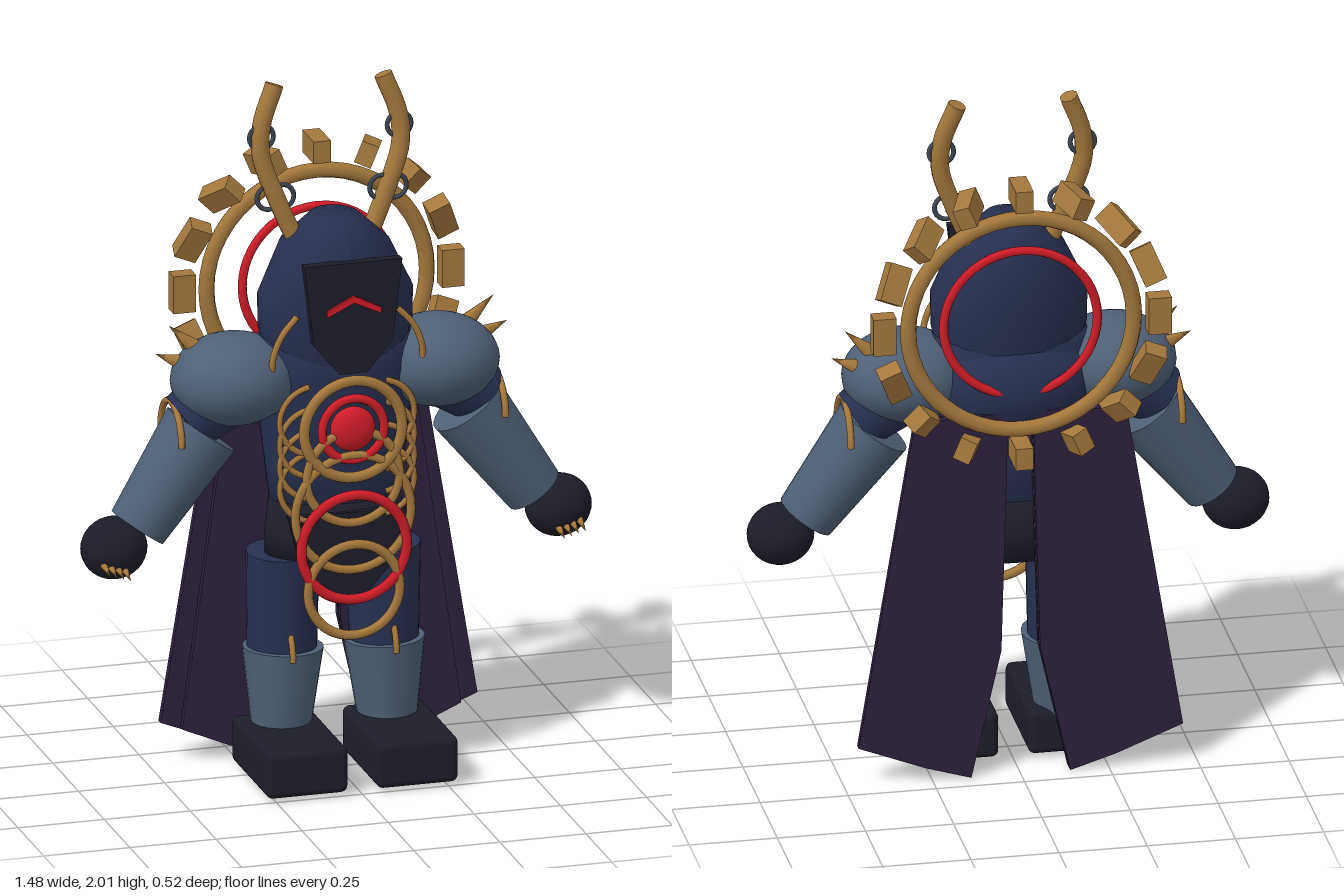
import * as THREE from 'three';
import { RoundedBoxGeometry } from 'three/addons/geometries/RoundedBoxGeometry.js';

const V = (x, y, z) => new THREE.Vector3(x, y, z);

export function createModel() {
  const model = new THREE.Group();
  model.name = 'hornedArmouredFigure';
  const paint = (name, color) => {
    const m = new THREE.MeshStandardMaterial({ color });
    m.name = name;
    return m;
  };
  const navy = paint('navy cloth', 0x27304f);
  const steel = paint('steel armour', 0x4f6075);
  const dark = paint('dark leather', 0x1c1d28);
  const gold = paint('old gold', 0xa4783c);
  const red = paint('glowing red', 0xd01c28);
  const purple = paint('purple cape', 0x2d213c);
  const iron = paint('iron chain', 0x3c4652);

  const add = (name, geometry, material, x = 0, y = 0, z = 0) => {
    const mesh = new THREE.Mesh(geometry, material);
    mesh.name = name;
    mesh.position.set(x, y, z);
    model.add(mesh);
    return mesh;
  };
  // Tapered cylinder or cone from point a to point b
  const limb = (name, a, b, ra, rb, material, sides = 24) => {
    const d = b.clone().sub(a);
    const mesh = add(name, new THREE.CylinderGeometry(rb, ra, d.length(), sides), material);
    mesh.position.copy(a).addScaledVector(d, 0.5);
    mesh.quaternion.setFromUnitVectors(V(0, 1, 0), d.normalize());
    return mesh;
  };
  const ellipsoid = (name, x, y, z, rx, ry, rz, material) => {
    add(name, new THREE.SphereGeometry(1, 28, 18), material, x, y, z).scale.set(rx, ry, rz);
  };
  const ring = (name, y, z, radius, tube, material) =>
    add(name, new THREE.TorusGeometry(radius, tube, 8, 48), material, 0, y, z);
  const tube = (name, points, radius, material) =>
    add(name, new THREE.TubeGeometry(new THREE.CatmullRomCurve3(points), 20, radius, 10), material);
  const plate = (name, points, depth, z, material) => {
    const shape = new THREE.Shape(points.map(p => new THREE.Vector2(...p)));
    return add(name, new THREE.ExtrudeGeometry(shape, { depth, bevelEnabled: false }), material, 0, 0, z);
  };
  const lathe = (points, sides = 32) =>
    new THREE.LatheGeometry(points.map(p => new THREE.Vector2(...p)), sides);

  // Hood, deeper towards its flat crown
  const hood = lathe([[0.19, 1.2], [0.22, 1.3], [0.222, 1.4], [0.155, 1.54], [0.07, 1.62], [0, 1.62]]);
  const p = hood.attributes.position;
  for (let i = 0; i < p.count; i++) {
    const t = THREE.MathUtils.clamp((p.getY(i) - 1.4) / 0.2, 0, 1);
    p.setZ(i, p.getZ(i) * (0.68 + 0.5 * t));
  }
  hood.computeVertexNormals();
  add('hood', hood, navy, 0, 0, -0.018);

  // Face plate with its glowing chevron
  plate('facePlate', [[-0.142, 1.535], [-0.115, 1.3], [-0.04, 1.21], [0.04, 1.21], [0.115, 1.3], [0.142, 1.535]],
    0.03, 0.133, dark);
  plate('faceChevron', [[-0.078, 1.383], [-0.078, 1.4], [0, 1.44], [0.078, 1.4], [0.078, 1.383], [0, 1.42]],
    0.009, 0.163, red);

  // Torso, upper back and pelvis
  const torso = add('torso', lathe([[0, 0.74], [0.18, 0.74], [0.2, 0.9], [0.22, 1.06],
    [0.25, 1.18], [0.22, 1.28], [0.12, 1.33], [0, 1.33]]), navy, 0, 0, -0.025);
  torso.scale.z = 0.58;
  ellipsoid('upperBack', 0, 1.14, -0.06, 0.24, 0.16, 0.148, navy);
  const pelvis = add('pelvis', lathe([[0, 0.62], [0.2, 0.62], [0.2, 0.7], [0.19, 0.8], [0, 0.8]]), dark, 0, 0, -0.025);
  pelvis.scale.z = 0.6;
  plate('loincloth', [[-0.17, 0.78], [-0.13, 0.62], [-0.06, 0.54], [0.06, 0.54], [0.13, 0.62], [0.17, 0.78]],
    0.02, 0.082, dark);

  // Chest jewel and the chain of hoops below it
  ellipsoid('chestJewel', 0, 1.045, 0.155, 0.065, 0.065, 0.033, red);
  ring('jewelRing', 1.045, 0.16, 0.09, 0.013, red);
  ring('outerHoop', 1.045, 0.16, 0.142, 0.016, gold);
  ring('upperHoop', 0.905, 0.16, 0.135, 0.013, gold);
  ring('middleHoop', 0.8, 0.16, 0.168, 0.013, gold);
  ring('redHoop', 0.7, 0.168, 0.153, 0.015, red);
  ring('lowerHoop', 0.575, 0.168, 0.133, 0.014, gold);

  // Halo with sixteen blocks that turn about their spokes
  ring('halo', 1.37, -0.197, 0.32, 0.023, gold);
  ring('redHalo', 1.37, -0.19, 0.218, 0.013, red);
  for (let i = 0; i < 16; i++) {
    const a = i * Math.PI / 8;
    const block = add('haloBlock', new THREE.BoxGeometry(0.065, 0.11, 0.05), gold,
      0.39 * Math.cos(a), 1.37 + 0.39 * Math.sin(a), -0.197);
    block.rotation.set(a, 0, a, 'ZYX');
  }

  for (const s of [-1, 1]) {
    // Horns and the chain links hanging on them
    tube('horn', [V(s * 0.105, 1.54, -0.04), V(s * 0.16, 1.67, -0.05), V(s * 0.203, 1.8, -0.06),
      V(s * 0.197, 1.89, -0.068), V(s * 0.16, 1.99, -0.078)], 0.026, gold);
    limb('hornTip', V(s * 0.163, 1.983, -0.077), V(s * 0.158, 1.997, -0.079), 0.026, 0.026, gold, 10);
    for (const [x, y, z] of [[0.2, 1.85, -0.064], [0.182, 1.675, -0.05], [0.145, 1.675, -0.05]]) {
      add('chainLink', new THREE.TorusGeometry(0.035, 0.007, 6, 20), iron, s * x, y, z);
    }

    // Shoulder, spikes and arm
    ellipsoid('shoulder', s * 0.295, 1.165, -0.02, 0.178, 0.13, 0.163, steel);
    for (const [x, y, tx, ty] of [[0.375, 1.235, 0.472, 1.325], [0.415, 1.205, 0.51, 1.245]]) {
      limb('shoulderSpike', V(s * x, y, -0.055), V(s * tx, ty, -0.055), 0.03, 0, gold, 8);
    }
    limb('upperArm', V(s * 0.25, 1.17, -0.03), V(s * 0.43, 1.045, -0.03), 0.11, 0.088, navy);
    limb('forearm', V(s * 0.385, 1.02, -0.03), V(s * 0.575, 0.755, -0.015), 0.112, 0.085, steel);
    ellipsoid('hand', s * 0.645, 0.705, -0.008, 0.095, 0.09, 0.076, dark);
    for (let i = 0; i < 4; i++) {
      const x = s * (0.63 + 0.02 * i), y = 0.648 + 0.006 * i;
      limb('claw', V(x, y + 0.012, 0.03), V(x, y - 0.005, 0.11), 0.014, 0, gold, 8);
    }
    add('elbowArch', new THREE.TorusGeometry(0.103, 0.01, 8, 24, Math.PI), gold,
      s * 0.47, 1.005, -0.035).rotation.y = Math.PI / 2;

    // Collar cord and crossing rib hoops
    tube('collarCord', [V(s * 0.145, 1.37, 0.1), V(s * 0.19, 1.32, 0.105), V(s * 0.215, 1.26, 0.105),
      V(s * 0.22, 1.2, 0.1)], 0.009, gold);
    for (let i = 0; i < 4; i++) {
      const rib = add('rib', new THREE.TorusGeometry(0.1, 0.009, 6, 24, Math.PI * 0.9), gold,
        s * 0.095, 1.06 - 0.065 * i, 0.1);
      rib.rotation.z = s > 0 ? -Math.PI * 0.45 : Math.PI * 0.55;
    }

    // Leg and foot
    limb('thigh', V(s * 0.148, 0.34, -0.04), V(s * 0.147, 0.64, -0.035), 0.098, 0.103, navy);
    limb('shin', V(s * 0.155, 0.1, -0.025), V(s * 0.147, 0.36, -0.033), 0.08, 0.114, steel);
    add('kneeArch', new THREE.TorusGeometry(0.113, 0.009, 8, 24, Math.PI), gold,
      s * 0.15, 0.345, -0.035).rotation.y = Math.PI / 2;
    add('foot', new RoundedBoxGeometry(0.236, 0.135, 0.36, 3, 0.02), dark, s * 0.16, 0.078, 0.08);

    // Two-layered half of the split cape
    const outline = inset => [[0.035, 1.1], [0.3 - inset * 0.6, 1.09], [0.46 - inset, 0.115 - inset * 0.3],
      [0.27, 0.04], [0.14, 0], [0.055, 0.38]].map(([x, y]) => [s * x, y]);
    plate('capeHalf', outline(0), 0.022, -0.195, purple);
    plate('capeLining', outline(0.055), 0.02, -0.167, purple);
  }
  return model;
}
